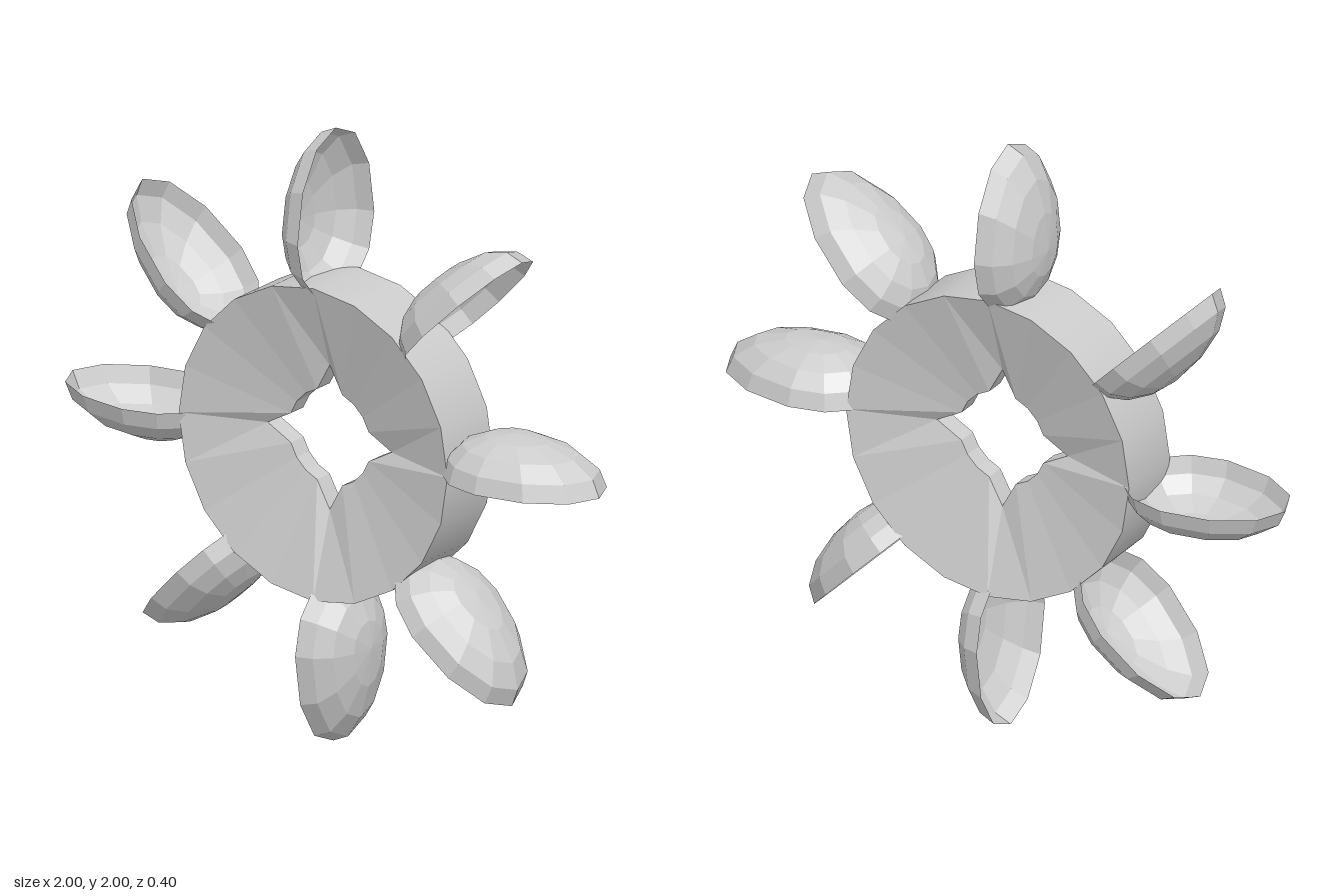
import * as THREE from 'three';

const CENTER_Y = 1.02;
const SIDES = 20;
const OUTER = 0.51, HALF_RIM = 0.12;
const HOLE = 0.155, HOLE_TIP = 0.235, HALF_HUB = 0.033;

// Ring of a profile around z; hole corners on the axes are pulled out to a four-pointed star
function starLathe(profile) {
  const geo = new THREE.LatheGeometry(profile.map(([r, h]) => new THREE.Vector2(r, h)), SIDES);
  const pos = geo.attributes.position;
  for (let i = 0; i < pos.count; i++) {
    const step = Math.floor(i / profile.length);
    const r = Math.hypot(pos.getX(i), pos.getZ(i));
    if (step % 5 === 0 && r < 0.2) {
      const k = HOLE_TIP / r;
      pos.setXYZ(i, pos.getX(i) * k, pos.getY(i), pos.getZ(i) * k);
    }
  }
  return geo.rotateX(Math.PI / 2);
}

// Half egg: long outer end, short inner end, open towards -y
function cupGeometry() {
  const geo = new THREE.SphereGeometry(1, 12, 4, 0, Math.PI * 2, 0, Math.PI / 2);
  const pos = geo.attributes.position;
  for (let i = 0; i < pos.count; i++) {
    const x = pos.getX(i);
    pos.setXYZ(i, 0.67 + x * (x > 0 ? 0.33 : 0.23), pos.getY(i) * 0.145, pos.getZ(i) * 0.2);
  }
  geo.computeVertexNormals();
  return geo;
}

export function createModel() {
  const model = new THREE.Group();
  model.name = 'waterWheel';
  const flat = new THREE.MeshStandardMaterial({ color: 0xcccccc, flatShading: true, side: THREE.DoubleSide });
  const smooth = new THREE.MeshStandardMaterial({ color: 0xcccccc });

  const wheel = new THREE.Group();
  wheel.name = 'wheel';
  wheel.position.y = CENTER_Y;
  model.add(wheel);

  const add = (geo, mat, name) => {
    const mesh = new THREE.Mesh(geo, mat);
    mesh.name = name;
    wheel.add(mesh);
    return mesh;
  };

  // Dished faces, sloping in to a thin star-shaped hole
  add(starLathe([
    [OUTER, HALF_RIM], [HOLE, HALF_HUB], [HOLE, 0], [HOLE, -HALF_HUB], [OUTER, -HALF_RIM],
  ]), flat, 'dishedFaces');

  // Outer band
  const band = new THREE.CylinderGeometry(OUTER, OUTER, HALF_RIM * 2, SIDES, 1, true);
  add(band.rotateX(Math.PI / 2), smooth, 'rim');

  // Eight cups, some set slightly off their spoke
  const cup = cupGeometry();
  const offsets = [0, 0, 0, 0.04, 0, 0.02, -0.01, -0.055];
  offsets.forEach((offset, i) => {
    const a = (i * Math.PI) / 4;
    const mesh = add(cup, flat, 'cup' + (i + 1));
    mesh.rotation.z = a;
    mesh.position.set(-Math.sin(a) * offset, Math.cos(a) * offset, 0);
  });

  return model;
}
